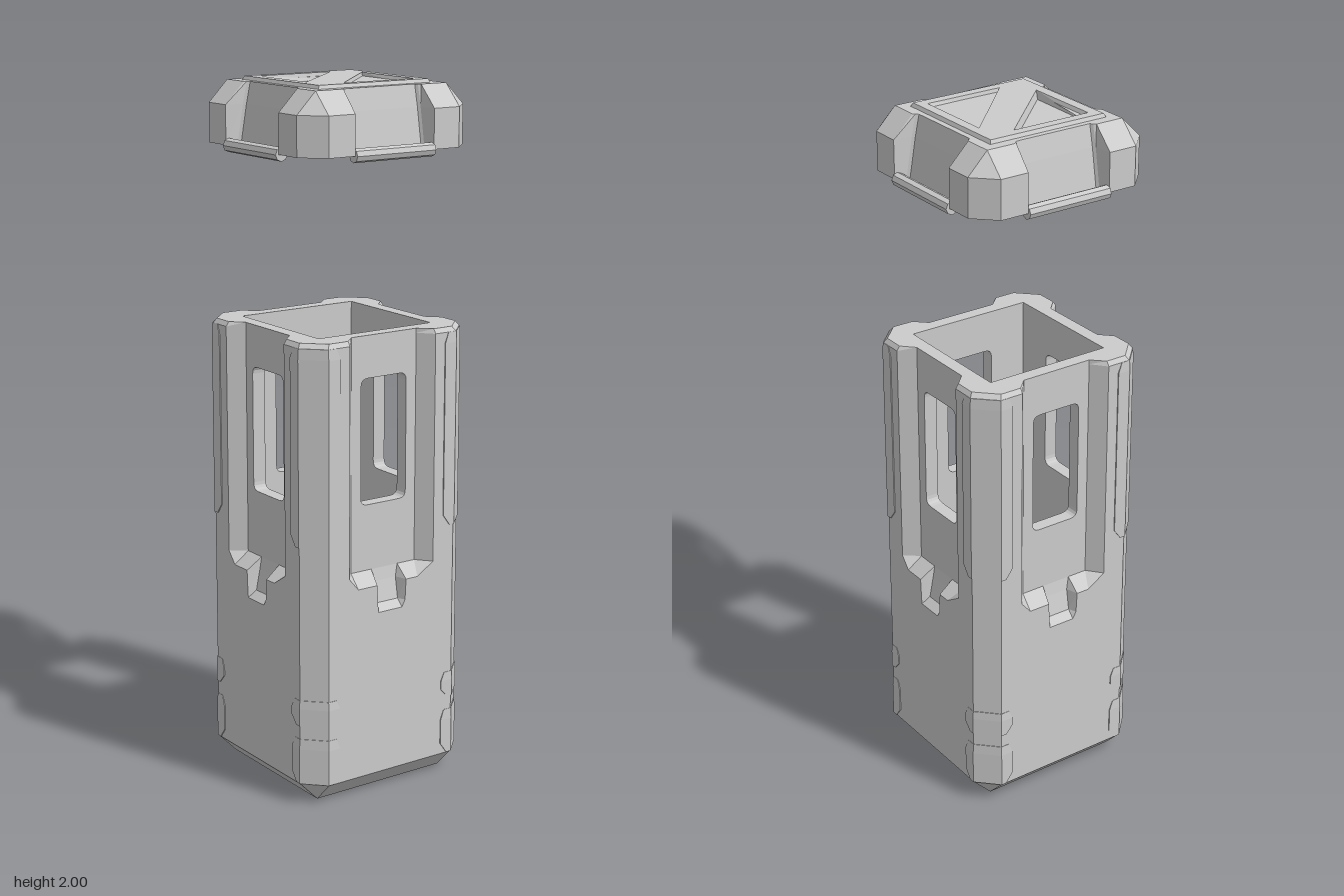
import * as THREE from 'three';

const mat = new THREE.MeshStandardMaterial({ color: 0xcccccc, flatShading: true, side: THREE.DoubleSide });

function add(parent, name, geo) {
  const mesh = new THREE.Mesh(geo, mat);
  mesh.name = name;
  parent.add(mesh);
  return mesh;
}

// Repeats a half side profile (on +z) by mirroring and four quarter turns
function fourSided(half) {
  const side = [...half, ...half.map(([x, z]) => [-x, z]).reverse()];
  const ring = [];
  for (let k = 0; k < 4; k++) {
    for (const [x, z] of side) {
      ring.push([[x, z], [-z, x], [-x, -z], [z, -x]][k]);
    }
  }
  return ring;
}

const square = (s) => [[s, s], [-s, s], [-s, -s], [s, -s]];

// Skins a stack of { y, pts } rings; caps may carry a hole, skip leaves quads out
function loft(rings, { bottom = true, top = true, bottomHole, topHole, skip } = {}) {
  const pos = [];
  const put = (y, p) => pos.push(p[0], y, p[1]);
  for (let r = 0; r + 1 < rings.length; r++) {
    const { y: y0, pts: A } = rings[r], { y: y1, pts: B } = rings[r + 1];
    for (let i = 0; i < A.length; i++) {
      if (skip && skip(r, i)) continue;
      const j = (i + 1) % A.length;
      put(y0, A[i]); put(y1, B[i]); put(y0, A[j]);
      put(y0, A[j]); put(y1, B[i]); put(y1, B[j]);
    }
  }
  const cap = ({ y, pts }, hole, up) => {
    const v = (list) => list.map(([x, z]) => new THREE.Vector2(x, z));
    const all = hole ? [...pts, ...hole] : pts;
    for (const [a, b, c] of THREE.ShapeUtils.triangulateShape(v(pts), hole ? [v(hole)] : [])) {
      const [p, q, s] = [all[a], all[b], all[c]];
      const ny = (q[1] - p[1]) * (s[0] - p[0]) - (q[0] - p[0]) * (s[1] - p[1]);
      for (const t of (ny > 0) === up ? [p, q, s] : [p, s, q]) put(y, t);
    }
  };
  if (bottom) cap(rings[0], bottomHole, false);
  if (top) cap(rings[rings.length - 1], topHole, true);
  const g = new THREE.BufferGeometry();
  g.setAttribute('position', new THREE.Float32BufferAttribute(pos, 3));
  g.computeVertexNormals();
  return g;
}

function polygon(points, Type = THREE.Shape) {
  return new Type(points.map(([x, y]) => new THREE.Vector2(x, y)));
}

// Window opening with small rounded corners
function windowPath(w, y0, y1, r) {
  const p = new THREE.Path();
  p.moveTo(-w + r, y0);
  p.lineTo(w - r, y0); p.quadraticCurveTo(w, y0, w, y0 + r);
  p.lineTo(w, y1 - r); p.quadraticCurveTo(w, y1, w - r, y1);
  p.lineTo(-w + r, y1); p.quadraticCurveTo(-w, y1, -w, y1 - r);
  p.lineTo(-w, y0 + r); p.quadraticCurveTo(-w, y0, -w + r, y0);
  return p;
}

function buildBody() {
  const body = new THREE.Group();
  body.name = 'body';

  // o: face distance, c: corner, w1/w2: recess lip and floor, d: recess floor,
  // g/e: half width and floor of the notch under the recess
  const ring = (y, o, c, w1, w2, d, g, e) =>
    ({ y, pts: fourSided([[c, o], [w1, o], [w2, d], [g, d], [g * 0.8, e]]) });
  const F = 0.273;
  const rings = [
    ring(0, 0.215, 0.215, 0.115, 0.09, 0.215, 0.045, 0.215),
    ring(0.06, F, 0.215, 0.115, 0.09, F, 0.045, F),
    ring(0.54, F, 0.215, 0.115, 0.09, F, 0.045, F),
    ring(0.56, F, 0.215, 0.115, 0.09, F, 0.047, 0.25),
    ring(0.62, F, 0.215, 0.115, 0.09, F, 0.05, 0.236),
    ring(0.655, F, 0.215, 0.145, 0.11, 0.23, 0.05, 0.23),
    ring(1.312, F, 0.215, 0.145, 0.11, 0.23, 0.05, 0.23),
    ring(1.325, 0.264, 0.208, 0.145, 0.11, 0.23, 0.05, 0.23),
  ];
  add(body, 'outerShell', loft(rings, {
    bottomHole: square(0.11),
    topHole: square(0.19),
    skip: (r, i) => r >= 5 && i % 10 >= 2 && i % 10 <= 6, // window walls fill the recess floors
  }));

  // Sunken square under the base
  add(body, 'baseRecess', loft([{ y: 0, pts: square(0.11) }, { y: 0.035, pts: square(0.08) }], { bottom: false }));

  // Four inner walls with a window each
  const wall = polygon([[-0.19, 0.1], [0.19, 0.1], [0.19, 1.325], [-0.19, 1.325]]);
  wall.holes.push(windowPath(0.077, 0.845, 1.205, 0.022));
  const wallGeo = new THREE.ExtrudeGeometry(wall, { depth: 0.04, bevelEnabled: false, curveSegments: 4 });
  wallGeo.translate(0, 0, 0.19);

  // Thin corner plate wrapped around the vertical chamfer
  const plate = (y0, y1) => {
    const s = 0.276, k = 0.2165;
    const section = (y, a, t = s) => ({
      y, pts: [[t, a], [t, k], [k, t], [a, t], [a, 0.265], [0.21, 0.265], [0.265, 0.21], [0.265, a]],
    });
    const m = Math.min(0.03, (y1 - y0) / 3);
    return loft([section(y0, 0.2), section(y0 + m, 0.178), section(y1 - m, 0.178), section(y1, 0.19, 0.274)]);
  };
  const plates = [['upperCornerPlate', 0.755, 1.312], ['middleCornerPlate', 0.235, 0.31], ['lowerCornerPlate', 0.062, 0.195]]
    .map(([name, y0, y1]) => [name, plate(y0, y1)]);

  for (let k = 0; k < 4; k++) {
    add(body, 'windowWall', wallGeo).rotation.y = k * Math.PI / 2;
    for (const [name, geo] of plates) add(body, name, geo).rotation.y = k * Math.PI / 2;
  }

  const floor = add(body, 'innerFloor', new THREE.BoxGeometry(0.4, 0.02, 0.4));
  floor.position.y = 0.1;
  return body;
}

function buildLid() {
  const lid = new THREE.Group();
  lid.name = 'lid';

  // Chamfered block with a sloped notch in every side
  const ring = (y, o, w, d) => ({ y, pts: fourSided([[0.215, o], [0.13, o], [w + 0.005, d + 0.008], [w, d]]) });
  add(lid, 'lidBlock', loft([
    ring(1.82, 0.275, 0.118, 0.234),
    ring(1.93, 0.275, 0.118, 0.215),
    ring(1.99, 0.215, 0.118, 0.202),
  ], { topHole: square(0.17) }));

  // Raised top panel with two triangular pockets split by a diagonal bar
  const panel = polygon(square(0.18));
  panel.holes.push(
    polygon([[-0.088, 0.152], [0.152, 0.152], [0.152, -0.08]], THREE.Path),
    polygon([[-0.152, 0.088], [-0.152, -0.15], [0.078, -0.15]], THREE.Path),
  );
  const panelGeo = new THREE.ExtrudeGeometry(panel, {
    depth: 0.002, bevelThickness: 0.02, bevelSize: 0.01, bevelSegments: 1,
  });
  panelGeo.rotateX(-Math.PI / 2);
  add(lid, 'topPanel', panelGeo).position.y = 1.978;
  add(lid, 'pocketFloor', new THREE.BoxGeometry(0.36, 0.03, 0.36)).position.y = 1.963;

  // Clip bar bridging each notch, leaving a slot behind it
  const barGeo = new THREE.CylinderGeometry(0.019, 0.019, 0.26, 8);
  barGeo.rotateZ(Math.PI / 2);
  barGeo.translate(0, 1.82, 0.266);
  for (let k = 0; k < 4; k++) add(lid, 'clipBar', barGeo).rotation.y = k * Math.PI / 2;
  return lid;
}

export function createModel() {
  const model = new THREE.Group();
  model.name = 'canister';
  model.add(buildBody(), buildLid());
  return model;
}
